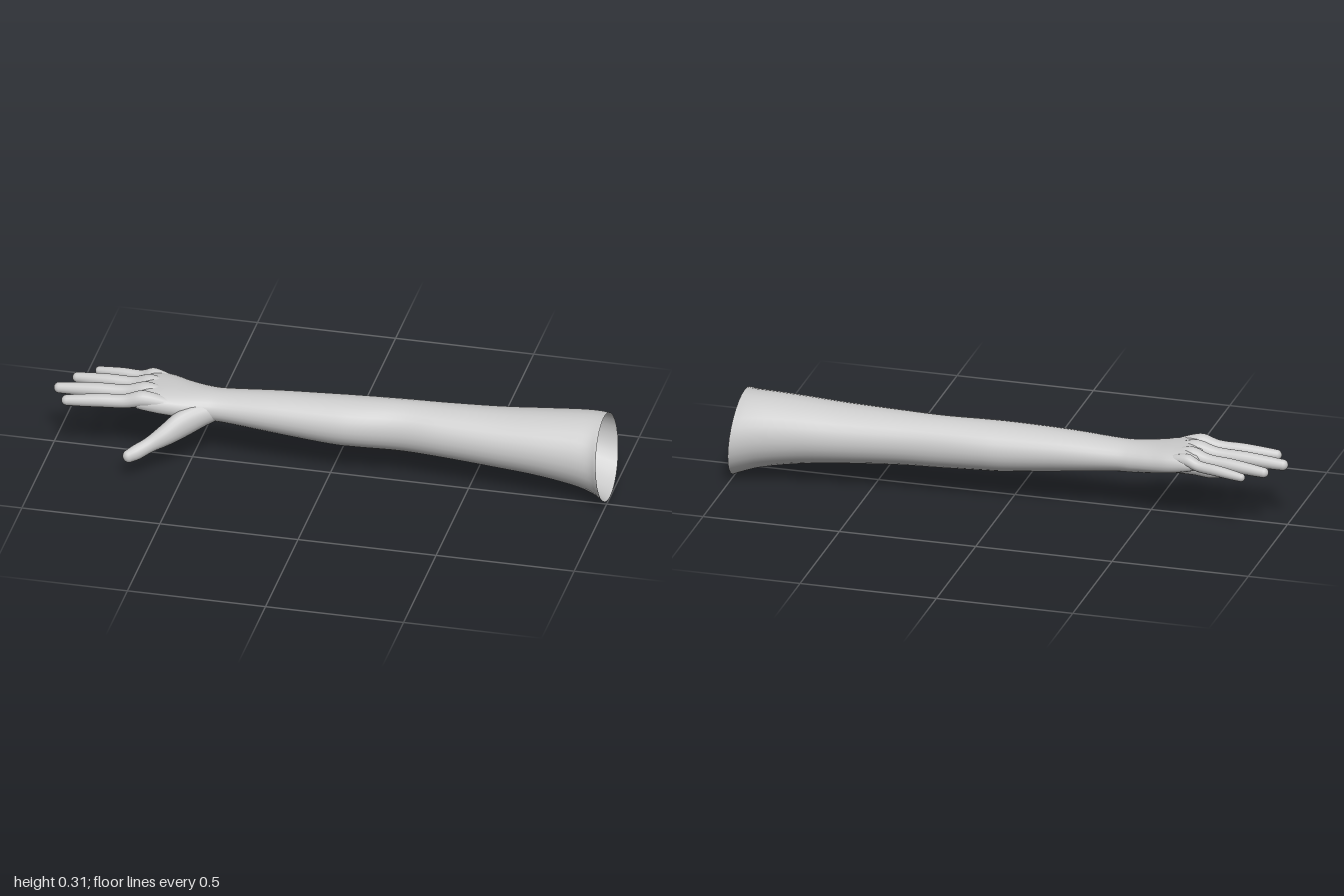
import * as THREE from 'three';

const skin = new THREE.MeshStandardMaterial({ color: 0xcccccc, side: THREE.DoubleSide });

// Loft rounded rings along a smooth path and close the far end with a dome.
// rows: [x, y, z, half height, half width, corner power (1 = ellipse)]
function loft(name, rows, { sides = 20, steps = 5, dome = 0.02, dir, lean = () => 0 }) {
  const path = new THREE.CatmullRomCurve3(rows.map(r => new THREE.Vector3(r[0], r[1], r[2])), false, 'catmullrom');
  const size = new THREE.CatmullRomCurve3(rows.map(r => new THREE.Vector3(r[3], r[4], r[5] ?? 1)), false, 'catmullrom');
  const d = dir ?? path.getPoint(1).sub(path.getPoint(0)).normalize();
  const u = new THREE.Vector3(0, 1, 0).cross(d).normalize();
  const v = d.clone().cross(u);

  const rings = [];
  const n = (rows.length - 1) * steps;
  for (let i = 0; i <= n; i++) rings.push([path.getPoint(i / n), size.getPoint(i / n)]);
  const [endC, endS] = rings[n];
  for (let k = 1; k <= 6; k++) {
    const a = (k / 6) * Math.PI / 2;
    const shrink = Math.max(Math.cos(a), 0.001);
    rings.push([
      endC.clone().addScaledVector(d, dome * Math.sin(a)),
      new THREE.Vector3(endS.x * shrink, endS.y * shrink, endS.z),
    ]);
  }

  const pos = [], index = [];
  const soft = (t, p) => Math.sign(t) * Math.abs(t) ** p;
  rings.forEach(([c, s], i) => {
    for (let j = 0; j < sides; j++) {
      const a = (j / sides) * Math.PI * 2;
      const p = c.clone()
        .addScaledVector(u, s.y * soft(Math.cos(a), s.z))
        .addScaledVector(v, s.x * soft(Math.sin(a), s.z));
      p.x += lean(c.x) * (p.y - c.y);
      pos.push(p.x, p.y, p.z);
      if (i < rings.length - 1) {
        const q = i * sides + j, r = i * sides + (j + 1) % sides;
        index.push(q, r, q + sides, r, r + sides, q + sides);
      }
    }
  });
  const geo = new THREE.BufferGeometry();
  geo.setAttribute('position', new THREE.Float32BufferAttribute(pos, 3));
  geo.setIndex(index);
  geo.computeVertexNormals();
  const mesh = new THREE.Mesh(geo, skin);
  mesh.name = name;
  return mesh;
}

export function createModel() {
  const group = new THREE.Group();
  group.name = 'arm';

  // Forearm, wrist and palm: [x, bottom, top, back, front, corner power]
  const outline = [
    [0.987, 0.0, 0.312, -0.225, 0.107, 1],
    [0.95, 0.018, 0.313, -0.22, 0.085, 1],
    [0.88, 0.043, 0.312, -0.21, 0.075, 1],
    [0.75, 0.068, 0.305, -0.193, 0.068, 1],
    [0.6, 0.083, 0.296, -0.175, 0.06, 1],
    [0.4, 0.097, 0.291, -0.155, 0.047, 1],
    [0.25, 0.102, 0.289, -0.145, 0.038, 1],
    [0.1, 0.106, 0.287, -0.14, 0.055, 1],
    [0, 0.11, 0.285, -0.133, 0.06, 1],
    [-0.2, 0.131, 0.278, -0.116, 0.056, 1],
    [-0.38, 0.15, 0.266, -0.101, 0.048, 1],
    [-0.45, 0.155, 0.264, -0.104, 0.054, 0.95],
    [-0.52, 0.165, 0.267, -0.118, 0.072, 0.9],
    [-0.59, 0.18, 0.272, -0.134, 0.088, 0.8],
    [-0.65, 0.194, 0.272, -0.138, 0.095, 0.75],
    [-0.68, 0.203, 0.263, -0.134, 0.095, 0.75],
  ];
  group.add(loft('forearmAndPalm',
    outline.map(([x, y0, y1, z0, z1, p]) => [x, (y0 + y1) / 2, (z0 + z1) / 2, (y1 - y0) / 2, (z1 - z0) / 2, p]),
    {
      sides: 28, dome: 0.025, dir: new THREE.Vector3(-1, 0, 0),
      lean: x => -0.08 * THREE.MathUtils.smoothstep(x, 0.75, 0.987), // slanted cuff
    }));

  // Fingers: name, knuckle z, tip x, tip z, radius
  const fingers = [
    ['indexFinger', 0.068, -0.953, 0.09, 0.024],
    ['middleFinger', 0.006, -1.0, 0.007, 0.025],
    ['ringFinger', -0.054, -0.953, -0.08, 0.023],
    ['littleFinger', -0.112, -0.886, -0.146, 0.019],
  ];
  for (const [name, z, tipX, tipZ, r] of fingers) {
    const at = (t, y, k) => [
      THREE.MathUtils.lerp(-0.66, tipX + r * 0.8, t), y,
      THREE.MathUtils.lerp(z, tipZ, t), r * k, r * k,
    ];
    group.add(loft(name, [
      [-0.57, 0.236, z * 0.85, r * 0.8, r * 0.8],
      at(0, 0.25, 1.25),
      at(0.25, 0.235, 1.05),
      at(0.55, 0.231, 1.02),
      at(0.8, 0.226, 0.93),
      at(1, 0.222, 0.8),
    ], { sides: 16, dome: r * 0.8 }));
  }

  // Thumb with its fleshy base
  group.add(loft('thumb', [
    [-0.40, 0.205, -0.005, 0.035, 0.035],
    [-0.46, 0.193, 0.03, 0.046, 0.037],
    [-0.52, 0.17, 0.075, 0.05, 0.037],
    [-0.57, 0.142, 0.117, 0.04, 0.032],
    [-0.62, 0.115, 0.152, 0.029, 0.025],
    [-0.66, 0.096, 0.182, 0.028, 0.025],
    [-0.685, 0.086, 0.2, 0.024, 0.02],
  ], { sides: 18, dome: 0.02 }));

  return group;
}
